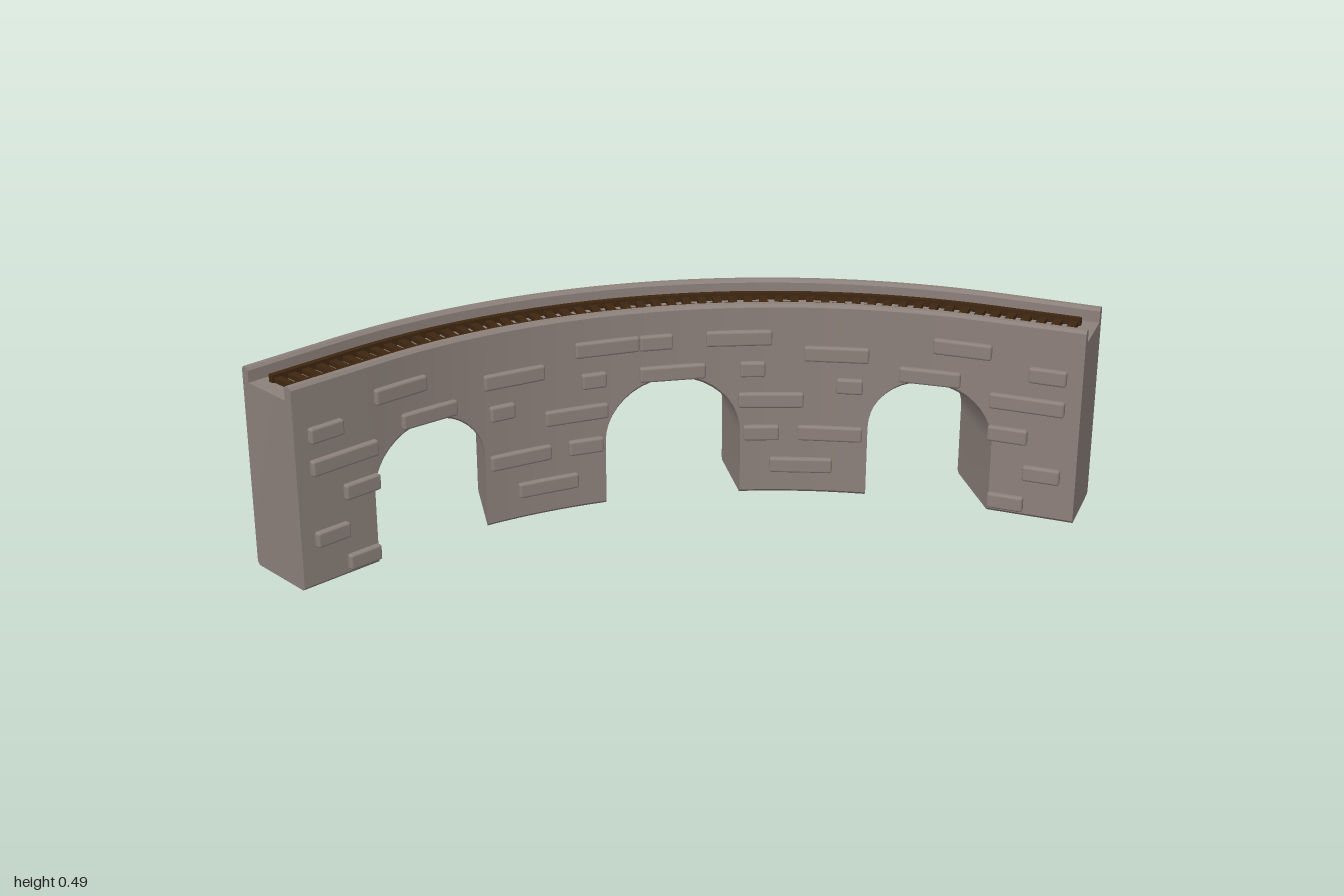
import * as THREE from 'three';
import { toCreasedNormals } from 'three/addons/utils/BufferGeometryUtils.js';
import { RoundedBoxGeometry } from 'three/addons/geometries/RoundedBoxGeometry.js';

const stone = new THREE.MeshStandardMaterial({ color: 0x8c807a });
const wood = new THREE.MeshStandardMaterial({ color: 0x3d2611 });

// Plan curve: a circular bend that runs straight near both ends
const R = 1.34, CZ = 1.173, BEND = Math.atan(0.667), HALF = 1.036;

function trackPoint(s, d, y) {
  const a = Math.min(Math.abs(s) / R, BEND), extra = Math.abs(s) - a * R;
  const r = R - d;
  const x = r * Math.sin(a) + extra * Math.cos(a);
  const z = CZ - r * Math.cos(a) + extra * Math.sin(a);
  return new THREE.Vector3(Math.sign(s) * x, y, z);
}

// z of a wall with plan radius r at a given x
function wallZ(x, r) {
  const ax = Math.abs(x), x1 = r * Math.sin(BEND);
  const z = ax < x1 ? -Math.sqrt(r * r - x * x)
    : -r * Math.cos(BEND) + (ax - x1) * Math.tan(BEND);
  return CZ + z + (r > R ? 0.011 : -0.011) * x * x;
}
const frontZ = (x) => wallZ(x, 1.238);
const backZ = (x) => wallZ(x, 1.443);

// Skin closed loops of equal length, ordered along +x, and cap both ends
function sweep(loops) {
  const n = loops[0].length, pos = [], idx = [];
  loops.forEach((l) => l.forEach((p) => pos.push(p.x, p.y, p.z)));
  const tri = (a, b, c) => {
    const [p, q, r] = [a, b, c].map((i) => loops[Math.floor(i / n)][i % n]);
    const area = q.clone().sub(p).cross(r.clone().sub(p)).length();
    if (area > 1e-9) idx.push(a, b, c);
  };
  for (let i = 0; i < loops.length - 1; i++) {
    for (let j = 0; j < n; j++) {
      const a = i * n + j, d = i * n + (j + 1) % n;
      tri(a, a + n, d + n);
      tri(a, d + n, d);
    }
  }
  const last = (loops.length - 1) * n;
  const outline = loops[0].map((p) => new THREE.Vector2(p.z, p.y));
  for (const [a, b, c] of THREE.ShapeUtils.triangulateShape(outline, [])) {
    tri(a, b, c);
    tri(last + a, last + c, last + b);
  }
  const g = new THREE.BufferGeometry();
  g.setAttribute('position', new THREE.Float32BufferAttribute(pos, 3));
  g.setIndex(idx);
  return toCreasedNormals(g, 0.6);
}

function add(parent, name, geometry, material) {
  const mesh = new THREE.Mesh(geometry, material);
  mesh.name = name;
  parent.add(mesh);
  return mesh;
}

// Section of the viaduct: w runs from back (0) to front (1), b is the underside height
const section = (b) => [
  [1, b + 0.007], [1, 0.48], [0.97, 0.487], [0.9, 0.487], [0.87, 0.48], [0.87, 0.452],
  [0.12, 0.452], [0.12, 0.48], [0.09, 0.487], [0.03, 0.487], [0, 0.48],
  [0, b + 0.007], [0.035, b], [0.965, b],
];

const PIER = 0.7275, END = 0.95;
function bodyLoop(u, b) {
  return section(b).map(([w, y]) => {
    const au = Math.abs(u);
    // outermost piers flare so that the end faces stand square to the track
    const end = 1 - 0.1 * w;
    const x = Math.sign(u) * (au < PIER ? au : PIER + (au - PIER) / (END - PIER) * (end - PIER));
    return new THREE.Vector3(x, y, THREE.MathUtils.lerp(backZ(x), frontZ(x), w));
  });
}

function viaductGeometry() {
  const arches = [
    { c: -0.595, a: 0.1325, spring: 0.172, rise: 0.135 },
    { c: 0, a: 0.165, spring: 0.155, rise: 0.153 },
    { c: 0.595, a: 0.1325, spring: 0.172, rise: 0.135 },
  ];
  const loops = [];
  let from = -END;
  const pier = (to) => {
    for (let i = 0; i <= 8; i++) loops.push(bodyLoop(from + (to - from) * i / 8, 0));
  };
  for (const { c, a, spring, rise } of arches) {
    pier(c - a);
    for (let k = 0; k <= 20; k++) {
      const t = Math.PI * k / 20;
      loops.push(bodyLoop(c - a * Math.cos(t), spring + rise * Math.sin(t)));
    }
    from = c + a;
  }
  pier(END);
  return sweep(loops);
}

// Raised bricks on the front wall: x start, x end, centre height (mirrored)
const BRICKS = [
  [0.6, 0.72, 0.405], [0.795, 0.87, 0.365], [0.72, 0.87, 0.288], [0.72, 0.8, 0.205],
  [0.795, 0.87, 0.115], [0.727, 0.8, 0.032], [0.53, 0.66, 0.325], [0.315, 0.462, 0.365],
  [0.39, 0.45, 0.285], [0.16, 0.315, 0.245], [0.303, 0.452, 0.16], [0.173, 0.258, 0.16],
  [0.237, 0.385, 0.075], [0.082, 0.238, 0.405], [0.163, 0.223, 0.325],
];

function addBricks(parent) {
  const group = new THREE.Group();
  group.name = 'raisedBricks';
  parent.add(group);
  const all = BRICKS.flatMap(([a, b, y]) => [[a, b, y], [-b, -a, y]]);
  all.push([-0.08, 0.08, 0.325], [-0.08, 0, 0.405]);
  for (const [a, b, y] of all) {
    const slope = (frontZ(b) - frontZ(a)) / (b - a), mid = (a + b) / 2;
    const length = (b - a) * Math.hypot(1, slope);
    const brick = add(group, 'brick', new RoundedBoxGeometry(length, 0.038, 0.03, 2, 0.006), stone);
    brick.position.set(mid, y, frontZ(mid) - 0.002);
    brick.rotation.y = -Math.atan(slope);
  }
}

function addTrack(parent) {
  const track = new THREE.Group();
  track.name = 'track';
  parent.add(track);
  const end = HALF - 0.038;
  // Two rails following the bend
  for (const side of [-1, 1]) {
    const c = side * 0.039, h = 0.007, loops = [];
    for (let i = 0; i <= 60; i++) {
      const s = -end + 2 * end * i / 60;
      loops.push([[h, 0.45], [h, 0.47], [-h, 0.47], [-h, 0.45]]
        .map(([d, y]) => trackPoint(s, c + d, y)));
    }
    add(track, side > 0 ? 'frontRail' : 'backRail', sweep(loops), wood);
  }
  // Sleepers
  const count = 54, geometry = new THREE.BoxGeometry(0.019, 0.014, 0.094);
  for (let i = 0; i < count; i++) {
    const s = -end + 0.014 + (2 * end - 0.028) * i / (count - 1);
    const sleeper = add(track, 'sleeper', geometry, wood);
    sleeper.position.copy(trackPoint(s, 0, 0.456));
    sleeper.rotation.y = -Math.sign(s) * Math.min(Math.abs(s) / R, BEND);
  }
}

export function createModel() {
  const model = new THREE.Group();
  model.name = 'curvedViaduct';
  add(model, 'archedStoneBody', viaductGeometry(), stone);
  addBricks(model);
  addTrack(model);
  return model;
}
